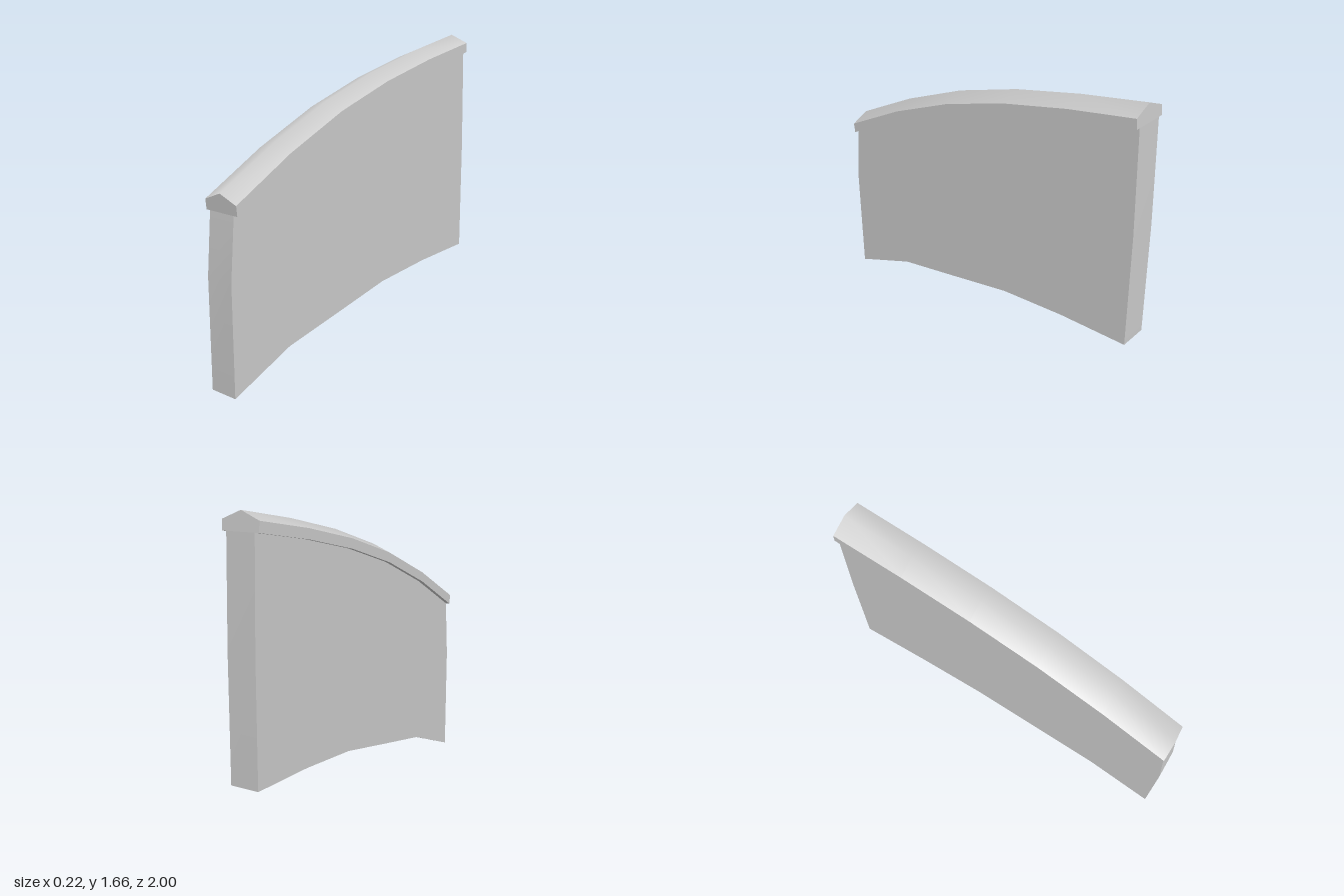
import * as THREE from 'three';
import { toCreasedNormals } from 'three/addons/utils/BufferGeometryUtils.js';

const WALL = 0.083; // half thickness of the wall
const CAP = 0.108; // half width of the coping

// Arched top of the wall, as [z, y] from front to back
const TOP = [[0.97, 0.943], [0.595, 1.135], [0.2, 1.295], [-0.19, 1.41], [-0.585, 1.495], [-0.98, 1.56]];
// Arched foot of the wall, from back to front
const FOOT = [[-1, 0.32], [-0.59, 0.315], [-0.19, 0.29], [0.2, 0.22], [0.6, 0.15], [1, 0]];

// Wall: side outline extruded across x
function wallGeometry() {
  const outline = [[1, 0.61], ...TOP, [-0.997, 0.98], ...FOOT];
  const shape = new THREE.Shape(outline.map(([z, y]) => new THREE.Vector2(-z, y)));
  const geometry = new THREE.ExtrudeGeometry(shape, { depth: 2 * WALL, bevelEnabled: false });
  geometry.translate(0, 0, -WALL).rotateY(Math.PI / 2);
  geometry.deleteAttribute('uv');
  return toCreasedNormals(geometry, 0.3);
}

// Coping: gabled section swept along the top of the wall
function copingGeometry() {
  // [x, height above the wall top]
  const section = [[-WALL, 0], [-CAP, 0], [-CAP, 0.055], [0, 0.099], [CAP, 0.055], [CAP, 0], [WALL, 0]];
  const n = section.length, last = TOP.length - 1, ridge = 3;
  const positions = [], index = [];
  TOP.forEach(([z, y], i) => {
    // the ends lean slightly outward
    const lean = i === 0 ? 0.1 : i === last ? 0.08 : 0;
    for (const [x, h] of section) positions.push(x, y + h, z + h * lean);
  });
  for (let i = 0; i < last; i++) {
    for (let j = 0; j < n - 1; j++) {
      const a = i * n + j, d = a + n;
      index.push(a, a + 1, d + 1, a, d + 1, d);
    }
  }
  // End faces, fanned from the ridge
  for (let j = 0; j < n; j++) {
    const k = (j + 1) % n;
    if (j === ridge || k === ridge) continue;
    index.push(ridge, k, j);
    index.push(last * n + ridge, last * n + j, last * n + k);
  }
  const geometry = new THREE.BufferGeometry();
  geometry.setAttribute('position', new THREE.Float32BufferAttribute(positions, 3));
  geometry.setIndex(index);
  return toCreasedNormals(geometry, 0.9);
}

export function createModel() {
  const group = new THREE.Group();
  group.name = 'archedWall';
  const material = new THREE.MeshStandardMaterial({ color: 0xcccccc });
  const add = (name, geometry) => {
    const mesh = new THREE.Mesh(geometry, material);
    mesh.name = name;
    group.add(mesh);
  };
  add('wall', wallGeometry());
  add('coping', copingGeometry());
  return group;
}
